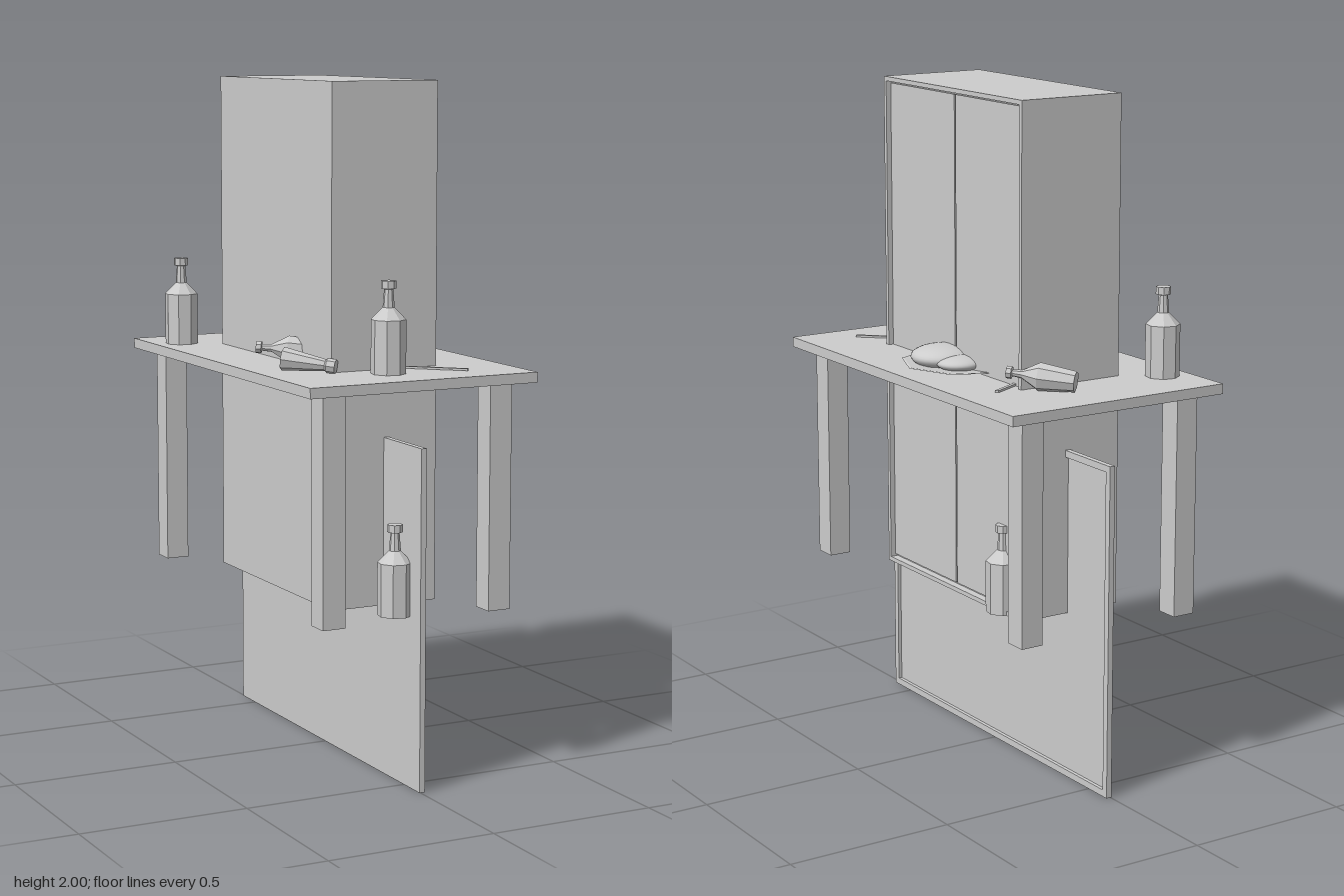
import * as THREE from 'three';

export function createModel() {
  const model = new THREE.Group();
  const grey = new THREE.MeshStandardMaterial({ color: 0xcccccc });
  grey.name = 'light grey';

  const add = (name, geometry, parent = model) => {
    const mesh = new THREE.Mesh(geometry, grey);
    mesh.name = name;
    parent.add(mesh);
    return mesh;
  };
  // box given by its minimum and maximum corners
  const box = (name, a, b, parent) => {
    const mesh = add(name, new THREE.BoxGeometry(b[0] - a[0], b[1] - a[1], b[2] - a[2]), parent);
    mesh.position.set((a[0] + b[0]) / 2, (a[1] + b[1]) / 2, (a[2] + b[2]) / 2);
    return mesh;
  };
  // faceted turned shape from [radius, height] pairs
  const turned = (profile, sides = 8) => {
    const g = new THREE.LatheGeometry(profile.map(p => new THREE.Vector2(...p)), sides).toNonIndexed();
    g.computeVertexNormals();
    return g;
  };
  // rectangular rim in the zy plane, extruded along +x from x0 to x1
  const rim = (name, x0, x1, z0, z1, y0, y1, w, parent) => {
    const rect = (T, d) => {
      const s = new T();
      s.moveTo(-z1 + d, y0 + d);
      s.lineTo(-z0 - d, y0 + d);
      s.lineTo(-z0 - d, y1 - d);
      s.lineTo(-z1 + d, y1 - d);
      s.closePath();
      return s;
    };
    const shape = rect(THREE.Shape, 0);
    shape.holes.push(rect(THREE.Path, w));
    const g = new THREE.ExtrudeGeometry(shape, { depth: x1 - x0, bevelEnabled: false });
    g.rotateY(Math.PI / 2);
    g.translate(x0, 0, 0);
    return add(name, g, parent);
  };

  // Cabinet with two recessed doors
  const cabinet = new THREE.Group();
  cabinet.name = 'cabinet';
  model.add(cabinet);
  box('cabinetBody', [-0.17, 0.5, -0.37], [0.142, 2, 0.37], cabinet);
  rim('cabinetRim', 0.142, 0.166, -0.37, 0.37, 0.5, 2, 0.013, cabinet);
  for (const s of [-1, 1]) {
    const door = box('door', [0.142, 0.52, 0.003], [0.15, 1.98, 0.357], cabinet);
    door.position.z *= s;
  }

  // Table
  const table = new THREE.Group();
  table.name = 'table';
  model.add(table);
  box('tableTop', [-0.36, 1.156, -0.616], [0.357, 1.186, 0.616], table);
  for (const x of [-0.267, 0.262])
    for (const z of [-0.537, 0.541])
      box('tableLeg', [x - 0.035, 0.5, z - 0.035], [x + 0.035, 1.156, z + 0.035], table);

  // Framed board standing below the table
  const board = new THREE.Group();
  board.name = 'board';
  model.add(board);
  box('boardPanel', [-0.003, 0, -0.59], [0.003, 0.99, 0.592], board);
  rim('boardRim', 0.003, 0.014, -0.59, 0.592, 0, 0.99, 0.02, board);

  // Standing bottles
  const bottle = turned([[0, 0], [0.05, 0], [0.05, 0.153], [0.017, 0.187], [0.013, 0.238],
    [0.022, 0.24], [0.022, 0.262], [0, 0.262]]);
  for (const p of [[-0.275, 1.186, -0.44], [-0.033, 1.186, 0.452], [-0.033, 0.5, 0.495], [0.15, 0.5, -0.252]]) {
    const mesh = add('bottle', bottle);
    mesh.position.set(...p);
    mesh.rotation.y = 0.2;
  }

  // Fallen flasks, placed from base to mouth
  const flask = turned([[0, 0], [0.03, 0], [0.041, 0.105], [0.012, 0.155], [0.01, 0.183],
    [0.018, 0.185], [0.018, 0.2], [0, 0.2]]);
  const tapered = turned([[0, 0], [0.034, 0], [0.017, 0.125], [0.021, 0.13], [0.021, 0.155], [0, 0.155]]);
  const lay = (name, geometry, from, to) => {
    const mesh = add(name, geometry);
    mesh.position.set(...from);
    const dir = new THREE.Vector3(...to).sub(mesh.position).normalize();
    mesh.quaternion.setFromUnitVectors(new THREE.Vector3(0, 1, 0), dir);
  };
  lay('fallenFlask', flask, [0.06, 1.219, -0.486], [0.192, 1.236, -0.34]);
  lay('fallenFlask', flask, [-0.1, 1.222, 0.19], [-0.266, 1.232, 0.08]);
  lay('fallenCup', tapered, [-0.28, 1.223, 0.284], [-0.165, 1.205, 0.388]);

  // Shallow eight-sided plate
  const plate = turned([[0, 0], [0.12, 0], [0.194, 0.009], [0.188, 0.011], [0.12, 0.004], [0, 0.004]]);
  add('plate', plate).position.set(0.115, 1.187, 0);

  // Rounded food on the plate
  const lump = (p, r) => {
    const g = new THREE.SphereGeometry(1, 28, 18);
    g.scale(...r);
    add('food', g).position.set(...p);
  };
  lump([0.17, 1.212, 0.038], [0.097, 0.035, 0.093]);
  lump([0.165, 1.205, -0.045], [0.07, 0.023, 0.066]);

  // Cutlery lying on the table
  for (const [x0, z0, x1, z1] of [[0.035, 0.36, 0.193, 0.508], [0.12, -0.298, 0.241, -0.36]]) {
    const stick = add('cutlery', new THREE.BoxGeometry(Math.hypot(x1 - x0, z1 - z0), 0.006, 0.011));
    stick.position.set((x0 + x1) / 2, 1.19, (z0 + z1) / 2);
    stick.rotation.y = -Math.atan2(z1 - z0, x1 - x0);
  }

  return model;
}
